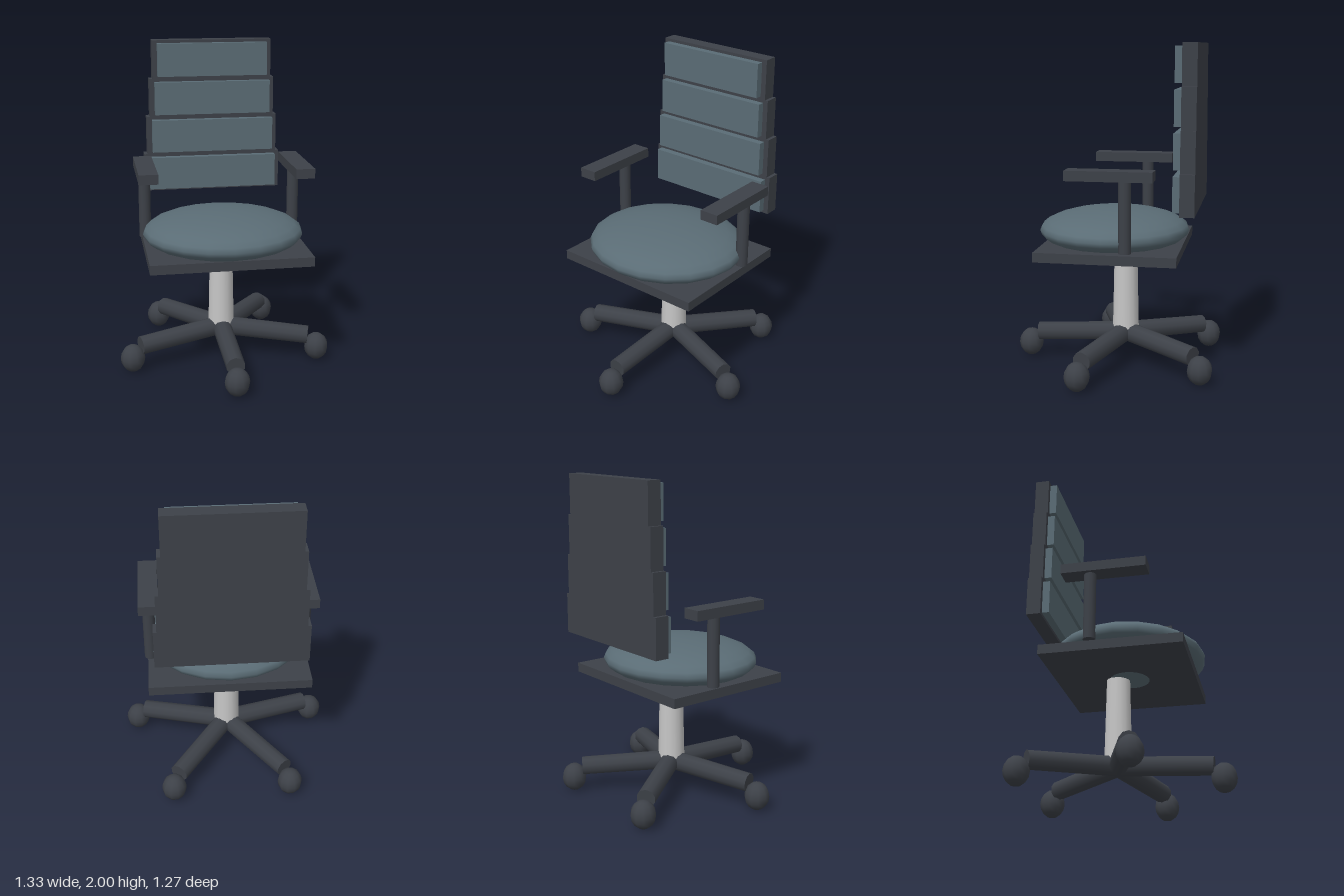
import * as THREE from 'three';

export function createModel() {
  const chair = new THREE.Group();
  chair.name = 'officeChair';

  const mat = (name, color) => {
    const m = new THREE.MeshStandardMaterial({ color });
    m.name = name;
    return m;
  };
  const frame = mat('dark frame', 0x3d4148);
  const fabric = mat('blue grey fabric', 0x5a6c75);
  const metal = mat('light metal', 0xc6c6c6);

  const add = (name, geometry, material, x, y, z, parent = chair) => {
    const mesh = new THREE.Mesh(geometry, material);
    mesh.name = name;
    mesh.position.set(x, y, z);
    parent.add(mesh);
    return mesh;
  };
  // Box given by its half width and its y and z limits
  const slab = (name, material, halfW, y0, y1, z0, z1, x = 0, parent = chair) =>
    add(name, new THREE.BoxGeometry(halfW * 2, y1 - y0, z1 - z0), material,
      x, (y0 + y1) / 2, (z0 + z1) / 2, parent);

  // Five-star base: sloping legs with a ball caster at each end
  const baseZ = -0.06;
  const up = new THREE.Vector3(0, 1, 0);
  for (let i = 0; i < 5; i++) {
    const a = (i / 5) * Math.PI * 2;
    const dx = Math.sin(a), dz = Math.cos(a);
    const start = new THREE.Vector3(0, 0.195, baseZ);
    const end = new THREE.Vector3(dx * 0.565, 0.163, baseZ + dz * 0.565);
    const dir = end.clone().sub(start);
    const mid = start.clone().add(end).multiplyScalar(0.5);
    const leg = add('baseLeg', new THREE.CylinderGeometry(0.058, 0.061, dir.length(), 10),
      frame, mid.x, mid.y, mid.z);
    leg.quaternion.setFromUnitVectors(up, dir.normalize());

    const ball = new THREE.SphereGeometry(1, 10, 8).scale(0.077, 0.088, 0.077);
    add('caster', ball, frame, dx * 0.62, 0.09, baseZ + dz * 0.62);
  }

  // Tapered column
  add('column', new THREE.CylinderGeometry(0.072, 0.084, 0.55, 16), metal, 0, 0.465, baseZ);

  // Seat plate and the flattened cushion, which dips just through it
  slab('seatPlate', frame, 0.492, 0.735, 0.793, -0.43, 0.413);
  const pad = new THREE.SphereGeometry(1, 20, 14).scale(0.5, 0.13, 0.465);
  add('seatCushion', pad, fabric, 0, 0.86, 0.01);

  // Armrests, mirrored
  for (const side of [1, -1]) {
    const arm = new THREE.Group();
    arm.name = side > 0 ? 'leftArmrest' : 'rightArmrest';
    add('armPost', new THREE.CylinderGeometry(0.037, 0.037, 0.43, 12), frame,
      side * 0.475, 1.02, -0.13, arm);
    slab('armPad', frame, 0.058, 1.225, 1.285, -0.297, 0.213, side * 0.473, arm);
    chair.add(arm);
  }

  // Stepped backrest, narrowing upward, each step with its own pad
  const step = 0.245;
  for (let i = 0; i < 4; i++) {
    const y = 1.02 + i * step;
    const halfW = 0.447 - i * 0.0207;
    slab('backPanel', frame, halfW, y, y + step, -0.525, -0.438);
    slab('backPad', fabric, halfW - 0.032, y + 0.018, y + step - 0.018, -0.438, -0.394);
  }

  return chair;
}
